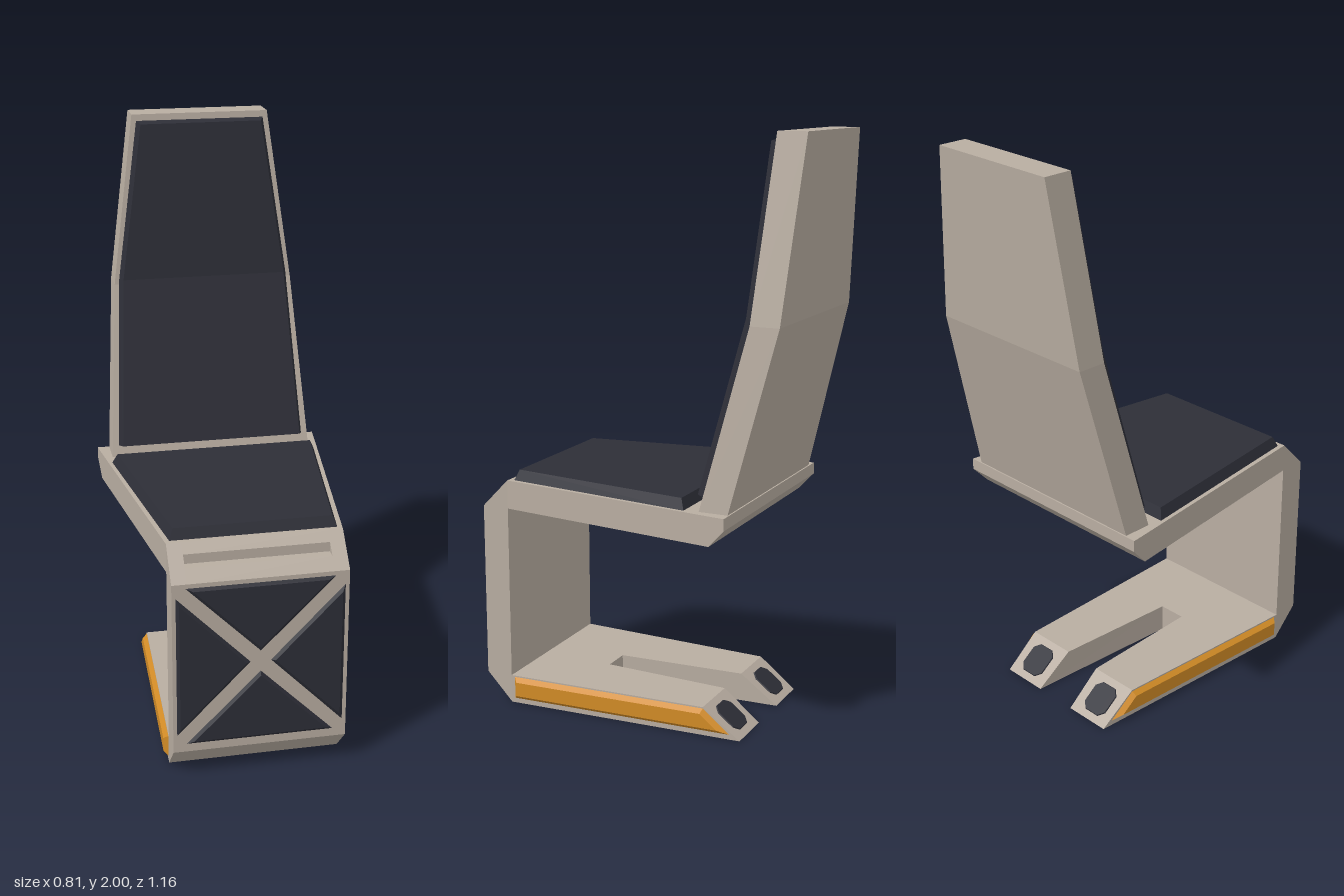
import * as THREE from 'three';

const material = (name, color) => {
  const m = new THREE.MeshStandardMaterial({ color });
  m.name = name;
  return m;
};

// Joins equal-length rings of [x, y, z] points into a closed, flat-faced solid facing outward.
function loft(name, rings, mat) {
  const tris = [], n = rings[0].length, last = rings.length - 1;
  for (let r = 0; r < last; r++) {
    for (let i = 0; i < n; i++) {
      const j = (i + 1) % n, a = rings[r], b = rings[r + 1];
      tris.push([a[i], a[j], b[j]], [a[i], b[j], b[i]]);
    }
  }
  for (let i = 1; i < n - 1; i++) {
    tris.push([rings[0][0], rings[0][i + 1], rings[0][i]]);
    tris.push([rings[last][0], rings[last][i], rings[last][i + 1]]);
  }
  let volume = 0;
  for (const [a, b, c] of tris) {
    volume += new THREE.Vector3(...a).dot(new THREE.Vector3(...b).cross(new THREE.Vector3(...c)));
  }
  if (volume < 0) tris.forEach((t) => t.reverse());
  const geo = new THREE.BufferGeometry();
  geo.setAttribute('position', new THREE.Float32BufferAttribute(tris.flat(2), 3));
  geo.computeVertexNormals();
  const mesh = new THREE.Mesh(geo, mat);
  mesh.name = name;
  return mesh;
}

// Moves every edge of a convex outline inward by d.
function inset(pts, d) {
  const n = pts.length;
  const s = Math.sign(THREE.ShapeUtils.area(pts.map(([x, y]) => new THREE.Vector2(x, y))));
  const normal = (p, q) => {
    const l = Math.hypot(q[0] - p[0], q[1] - p[1]);
    return [(-s * (q[1] - p[1])) / l, (s * (q[0] - p[0])) / l];
  };
  return pts.map((p, i) => {
    const a = normal(pts[(i + n - 1) % n], p), b = normal(p, pts[(i + 1) % n]);
    const k = d / (1 + a[0] * b[0] + a[1] * b[1]);
    return [p[0] + (a[0] + b[0]) * k, p[1] + (a[1] + b[1]) * k];
  });
}

// Bevelled plate; place(u, v, d) maps the outline and its height into space.
const plate = (name, pts, bevel, depth, place, mat) => loft(name, [
  pts.map(([u, v]) => place(u, v, 0)),
  inset(pts, bevel).map(([u, v]) => place(u, v, depth)),
], mat);

// Solid with a constant [z, y] section running across x.
const across = (name, x0, x1, section, mat) =>
  loft(name, [x0, x1].map((x) => section.map(([z, y]) => [x, y, z])), mat);

const rect = (x0, x1, y0, y1, z) => [[x0, y0, z], [x1, y0, z], [x1, y1, z], [x0, y1, z]];

export function createModel() {
  const group = new THREE.Group();
  const shell = material('beige shell', 0xb8ada1);
  const pad = material('dark padding', 0x2d2e37);
  const orange = material('orange strip', 0xd18b26);
  const add = (...meshes) => group.add(...meshes);
  const F = 0.572, B = 0.475, W = 0.29;

  // Front post and its chamfered corners, the upper one with a grip notch
  add(across('frontPost', -W, W, [[B, 0.1], [F, 0.1], [F, 0.71], [B, 0.71]], shell));
  add(across('lowerCorner', -W, W, [[B, 0.1], [F, 0.1], [B, 0]], shell));
  const corner = [[B, 0.71], [F, 0.71], [B, 0.81]];
  add(across('upperCornerLeft', 0.24, W, corner, shell));
  add(across('upperCornerRight', -W, -0.24, corner, shell));
  add(across('upperCornerNotch', -0.24, 0.24,
    [[B, 0.71], [F, 0.71], [0.535, 0.748], [0.503, 0.748], [0.503, 0.781], [B, 0.81]], shell));

  // Four dark triangles leaving a cross on the post
  const cy = 0.412;
  for (const s of [1, -1]) {
    const onFront = (x, y, d) => [x, y, F + d];
    add(plate('postPanel', [[-0.245, cy + s * 0.283], [0.245, cy + s * 0.283], [0, cy + s * 0.037]],
      0.01, 0.008, onFront, pad));
    add(plate('postPanelSide', [[s * 0.277, cy - 0.25], [s * 0.277, cy + 0.25], [s * 0.034, cy]],
      0.01, 0.008, onFront, pad));
  }

  // Seat slab widening to the back, with its cushion
  add(loft('seat', [
    rect(-W, W, 0.71, 0.81, B),
    rect(-0.397, 0.397, 0.71, 0.81, -0.33),
    rect(-0.404, 0.404, 0.77, 0.81, -0.385),
  ], shell));
  add(plate('seatCushion', [[-0.37, -0.23], [0.37, -0.23], [0.276, 0.455], [-0.276, 0.455]],
    0.015, 0.036, (x, z, d) => [x, 0.81 + d, z], pad));

  // Bent, tapering backrest and its pad
  const back = [[0.362, 0.81, -0.28], [0.32, 1.41, -0.43], [0.24, 2, -0.48]];
  add(loft('backrest', back.map(([w, y, z]) =>
    [[-w, y, z], [w, y, z], [w, y, z - 0.1], [-w, y, z - 0.1]]), shell));
  const padRows = [[0.337, 0.85, -0.288, -0.26, 0.006], [0.303, 1.43, -0.432, -0.406, 0],
    [0.225, 1.978, -0.479, -0.45, -0.008]];
  add(loft('backPad', padRows.map(([w, y, zb, zf, dy]) =>
    [[-w, y, zb], [w, y, zb], [w - 0.012, y + dy, zf], [-w + 0.012, y + dy, zf]]), pad));

  // Base: solid front part, then two legs split by a slot
  const outer = (z) => W - 0.0465 * (B - z);
  const root = 0.21, wr = outer(root);
  add(loft('baseFront', [rect(-W, W, 0, 0.1, B), rect(-wr, wr, 0, 0.1, root)], shell));
  for (const s of [1, -1]) {
    const wt = outer(-0.25), wb = outer(-0.382);
    add(loft('leg', [
      rect(s * 0.05, s * wr, 0, 0.1, root),
      [[s * 0.08, 0, -0.382], [s * wb, 0, -0.382], [s * wt, 0.1, -0.25], [s * 0.073, 0.1, -0.25]],
    ], shell));

    // Orange side strip
    add(plate('sideStrip', [[0.462, 0.017], [0.462, 0.095], [-0.25, 0.095], [-0.345, 0.017]],
      0.014, 0.016, (z, y, d) => [s * (outer(z) + d), y, z], orange));

    // Dark cut-corner plate on the sloping leg end
    const w = 0.052, h = 0.056, c = 0.022;
    const octagon = [[w - c, -h], [w, c - h], [w, h - c], [w - c, h],
      [c - w, h], [-w, h - c], [-w, c - h], [c - w, -h]];
    add(plate('legEndPlate', octagon, 0.002, 0.004, (u, v, d) =>
      [s * (0.166 + u), 0.05 + v * 0.604 + d * 0.797, -0.316 + v * 0.797 - d * 0.604], pad));
  }
  return group;
}
